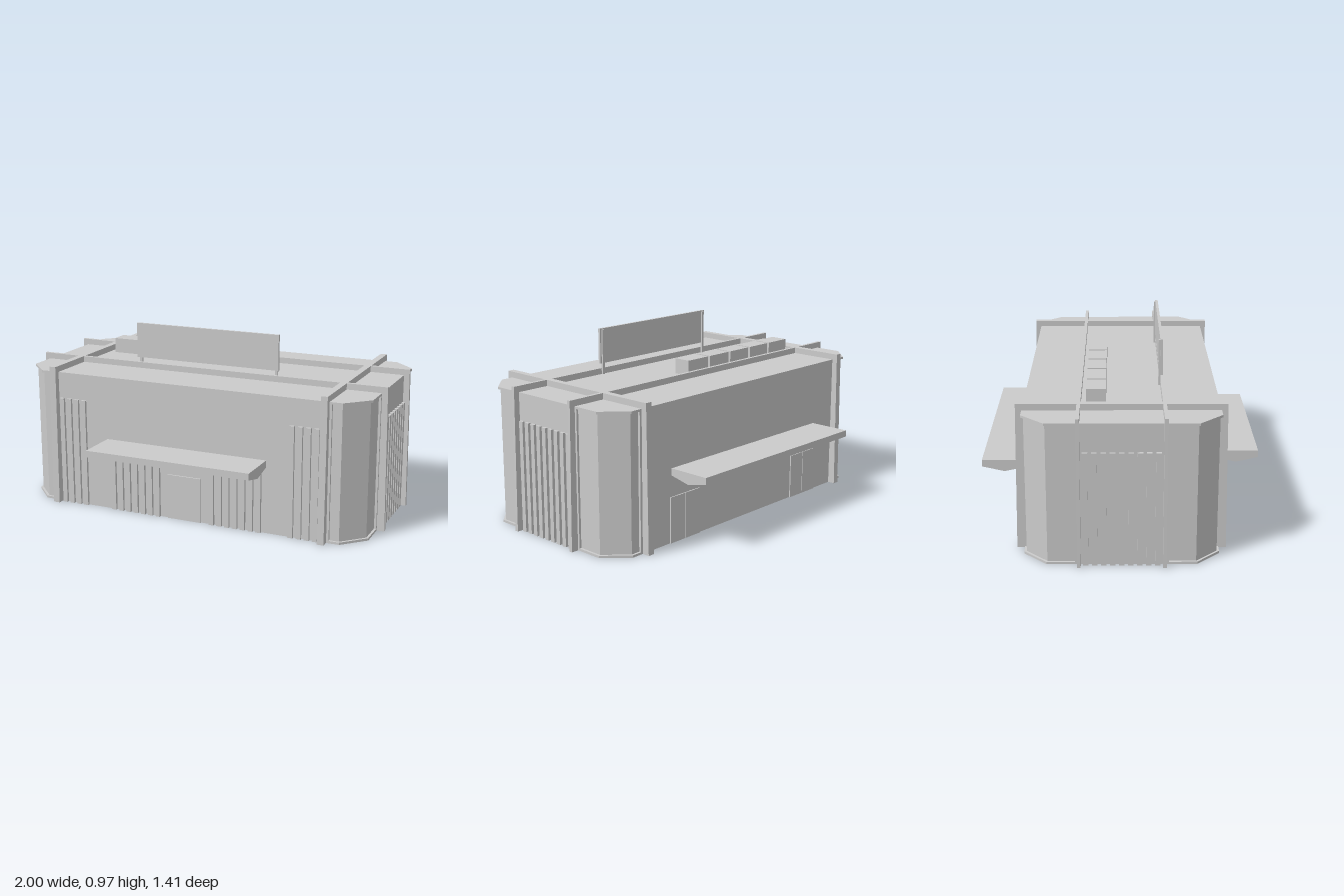
import * as THREE from 'three';

const mat = new THREE.MeshStandardMaterial({ color: 0xcccccc, flatShading: true, side: THREE.DoubleSide });

const shapeOf = (pts) => new THREE.Shape(pts.map(([x, y]) => new THREE.Vector2(x, y)));

export function createModel() {
  const model = new THREE.Group();

  const add = (name, geo, x = 0, y = 0, z = 0) => {
    const m = new THREE.Mesh(geo, mat);
    m.name = name;
    m.position.set(x, y, z);
    model.add(m);
    return m;
  };
  const box = (name, x0, x1, y0, y1, z0, z1) =>
    add(name, new THREE.BoxGeometry(x1 - x0, y1 - y0, z1 - z0), (x0 + x1) / 2, (y0 + y1) / 2, (z0 + z1) / 2);
  const extrude = (shape, depth) => new THREE.ExtrudeGeometry(shape, { depth, bevelEnabled: false });
  // plan shape (x, z) raised from y0 to y1
  const plan = (name, shape, y0, y1) =>
    add(name, extrude(shape, y1 - y0).rotateX(Math.PI / 2), 0, y1, 0);

  const W = 0.96, D = 0.48, C = 0.115, ROOF = 0.725, FX = 0.76, FZ = 0.207;

  // chamfered rectangle, inset by d
  const octagon = (d) => {
    const w = W - d, e = D - d, c = C - d * 0.586;
    return [[w, e - c], [w - c, e], [c - w, e], [-w, e - c], [-w, c - e], [c - w, -e], [w - c, -e], [w, c - e]];
  };

  // roof slab with a small lip over the corner walls
  plan('roof', shapeOf(octagon(0)), ROOF - 0.012, ROOF);

  // corner walls: bent strips with a sill and jambs
  const quarter = (d) => {
    const o = octagon(d);
    return [[W - d, FZ], o[0], o[1], [FX, D - d]];
  };
  for (const sx of [-1, 1]) for (const sz of [-1, 1]) {
    const strip = (a, b) => shapeOf([...quarter(a), ...quarter(b).reverse()].map(([x, z]) => [x * sx, z * sz]));
    plan('cornerWall', strip(0.012, 0.02), 0, ROOF - 0.006);
    plan('cornerSill', strip(0, 0.02), 0, 0.012);
    const jx = sx * (FX + 0.015), jz = sz * (FZ + 0.01);
    box('cornerJamb', jx - 0.015, jx + 0.015, 0, ROOF, sz * (D - 0.01) - 0.01, sz * (D - 0.01) + 0.01);
    box('cornerJamb', sx * (W - 0.01) - 0.01, sx * (W - 0.01) + 0.01, 0, ROOF, jz - 0.01, jz + 0.01);
  }

  // flat walls between the frames
  for (const s of [-1, 1]) {
    box('longWall', -FX, FX, 0, ROOF - 0.002, s * (D - 0.004) - 0.004, s * (D - 0.004) + 0.004);
    box('endWall', s * (W - 0.004) - 0.004, s * (W - 0.004) + 0.004, 0, ROOF - 0.002, -FZ, FZ);
  }

  // portal frames: battered legs joined by a beam over the roof
  const frame = (name, bottom, top, inner, thick) => {
    const shape = shapeOf([[-bottom, 0], [-inner, 0], [-inner, 0.712], [inner, 0.712], [inner, 0],
      [bottom, 0], [top, 0.757], [-top, 0.757]]);
    return extrude(shape, thick).translate(0, 0, -thick / 2);
  };
  for (const s of [-1, 1]) {
    add('crossFrame', frame('', 0.52, 0.51, D - 0.01, 0.035).rotateY(Math.PI / 2), s * FX, 0, 0);
    add('longFrame', frame('', 1.0, 0.99, W - 0.01, 0.018), 0, 0, s * FZ);
  }

  // vertical slats
  const PITCH = 0.0435, HALF = 0.013, OUT = 0.014;
  const frontSlat = (x, h) => box('frontSlat', x - HALF, x + HALF, 0, h, D - 0.012, D + OUT);
  for (const s of [-1, 1]) {
    for (let i = 0; i < 4; i++) frontSlat(s * (0.59 + i * PITCH), 0.585);
    for (let i = 0; i < 7; i++) frontSlat(s * (0.155 + i * PITCH), 0.345);
    for (let i = -4; i <= 4; i++) {
      const z = i * PITCH, x = s * (W + 0.001);
      box('endSlat', x - OUT, x + OUT, 0, 0.582, z - HALF, z + HALF);
    }
  }

  // doors
  box('frontDoor', -0.097, 0.093, 0, 0.24, D - 0.012, D + 0.008);
  for (const s of [-1, 1]) for (const t of [-1, 1]) {
    const x = s * 0.48 + t * 0.054;
    box('backDoorLeaf', x - 0.052, x + 0.052, 0, 0.24, -D - 0.006, -D + 0.01);
  }

  // canopies with a keeled underside
  const canopy = (name, half, sign) => {
    const profile = shapeOf([[0.472, 0.387], [0.705, 0.387], [0.705, 0.352], [0.592, 0.326], [0.472, 0.352]]);
    const geo = extrude(profile, half * 2).translate(0, 0, -half).rotateY(-sign * Math.PI / 2);
    add(name, geo);
  };
  canopy('frontCanopy', 0.453, 1);
  canopy('backCanopy', 0.575, -1);

  // sign board on posts
  box('signBoard', -0.408, 0.408, 0.783, 0.97, 0.196, 0.21);
  for (const s of [-1, 1]) box('signPost', s * 0.392 - 0.007, s * 0.392 + 0.007, ROOF, 0.965, 0.188, 0.2);

  // row of rooftop units
  for (let i = 0; i < 5; i++) {
    const x = -0.706 + i * 0.168;
    box('roofUnit', x, x + 0.153, ROOF, 0.807, -0.172, -0.076);
  }

  return model;
}
